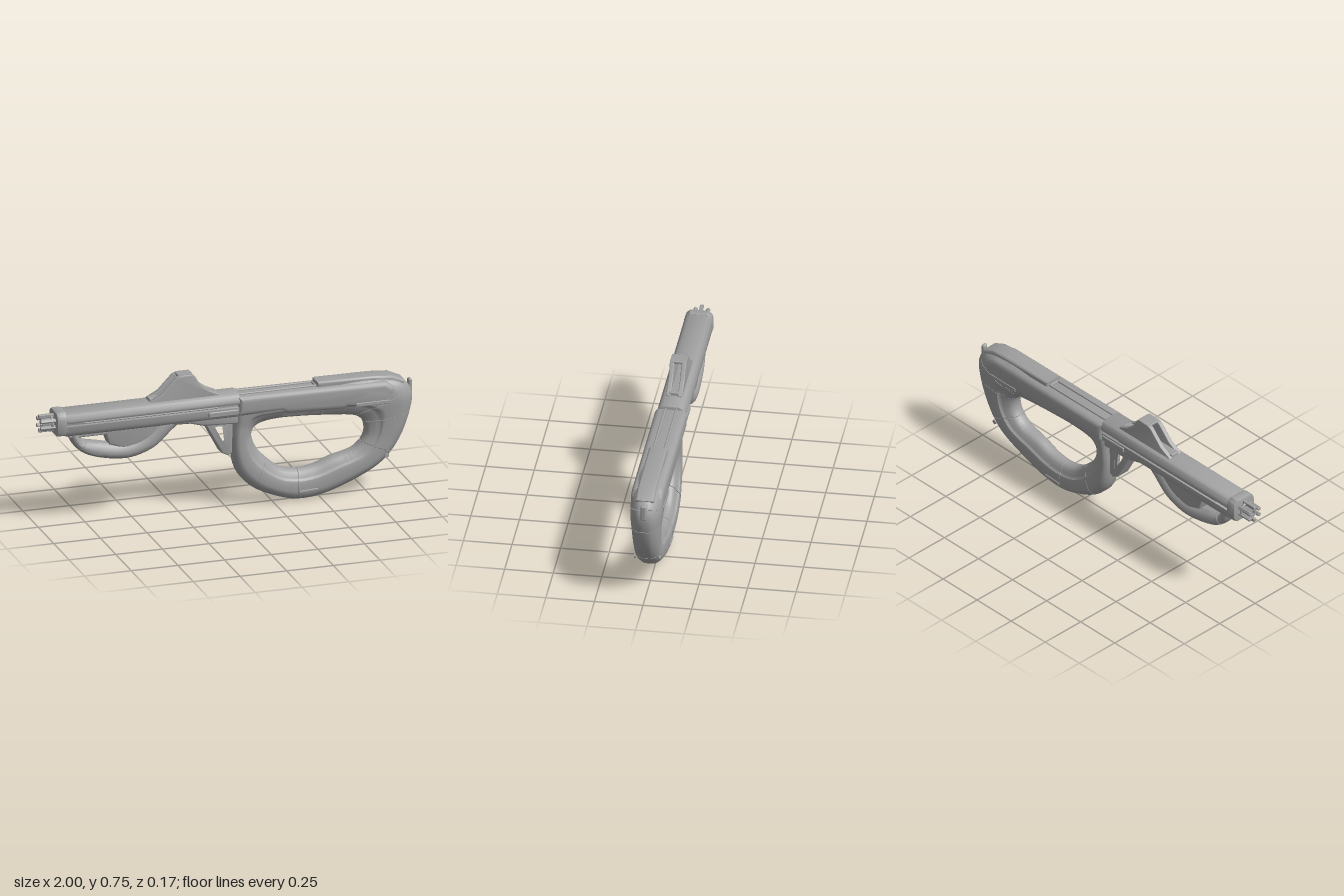
import * as THREE from 'three';
import { toCreasedNormals } from 'three/addons/utils/BufferGeometryUtils.js';
import { RoundedBoxGeometry } from 'three/addons/geometries/RoundedBoxGeometry.js';

const grey = new THREE.MeshStandardMaterial({ color: 0xa0a0a0 });
grey.name = 'grey';

export function createModel() {
  const model = new THREE.Group();
  model.name = 'toyBlaster';

  const add = (name, geo, x = 0, y = 0, z = 0) => {
    const mesh = new THREE.Mesh(geo, grey);
    mesh.name = name;
    mesh.position.set(x, y, z);
    model.add(mesh);
    return mesh;
  };
  const vec = (pts) => pts.map(([x, y]) => new THREE.Vector2(x, y));

  // side outline extruded across z, bevel kept inside the outline
  const slab = (pts, halfZ, bevel, hole) => {
    const shape = new THREE.Shape(vec(pts));
    if (hole) shape.holes.push(new THREE.Path(vec(hole)));
    const geo = new THREE.ExtrudeGeometry(shape, {
      depth: 2 * (halfZ - bevel), bevelThickness: bevel, bevelSize: bevel,
      bevelOffset: -bevel, bevelSegments: 3,
    });
    geo.translate(0, 0, bevel - halfZ);
    return toCreasedNormals(geo, 0.6);
  };

  // mirrored half section [z, y] extruded along x
  const beam = (half, x0, x1, bevel = 0.004) => {
    const mirror = half.filter((p) => p[0] > 0).map(([z, y]) => [-z, y]).reverse();
    const geo = new THREE.ExtrudeGeometry(new THREE.Shape(vec([...half, ...mirror])), {
      depth: x1 - x0 - 2 * bevel, bevelThickness: bevel, bevelSize: bevel,
      bevelOffset: -bevel, bevelSegments: 2,
    });
    geo.rotateY(Math.PI / 2).translate(x0 + bevel, 0, 0);
    return toCreasedNormals(geo, 0.6);
  };

  // skin between an outer and an inner path; stations are [ox, oy, ix, iy, halfWidth]
  const loft = (stations, profile, closed, seams = []) => {
    const n = stations.length, spans = closed ? n : n - 1;
    const path = (k) => new THREE.CatmullRomCurve3(
      stations.map((s) => new THREE.Vector3(s[k], s[k + 1], 0)), closed);
    const outer = path(0), inner = path(2);
    const ring = [...profile, ...profile.slice(1, -1).reverse().map(([s, w]) => [s, -w])];
    const rows = [];
    for (let i = 0; i <= spans * 6; i++) rows.push([i / 6, 1]);
    for (const t of seams) rows.push([t - 0.025, 1], [t, 0.95], [t + 0.025, 1]);
    rows.sort((a, b) => a[0] - b[0]);
    const pos = [], index = [], m = ring.length;
    rows.forEach(([t, shrink], r) => {
      const o = outer.getPoint(t / spans), p = inner.getPoint(t / spans);
      const i = Math.floor(t);
      const w = THREE.MathUtils.lerp(stations[i % n][4], stations[closed ? (i + 1) % n : Math.min(i + 1, n - 1)][4], t - i);
      for (const [s, z] of ring) {
        const q = 0.5 + (s - 0.5) * shrink;
        pos.push(o.x + (p.x - o.x) * q, o.y + (p.y - o.y) * q, z * w * shrink);
      }
      if (r === 0) return;
      for (let j = 0; j < m; j++) {
        const a = (r - 1) * m + j, d = (r - 1) * m + (j + 1) % m;
        index.push(a, a + m, d + m, a, d + m, d);
      }
    });
    const geo = new THREE.BufferGeometry();
    geo.setAttribute('position', new THREE.Float32BufferAttribute(pos, 3));
    geo.setIndex(index);
    return toCreasedNormals(geo, 0.55);
  };

  // looped stock and grip: broad outer shell stepping down to a slim inner liner
  add('stockLoop', loft([
    [0.03, 0.31, 0.135, 0.385, 0.06], [0.06, 0.185, 0.16, 0.31, 0.062],
    [0.135, 0.10, 0.21, 0.25, 0.066], [0.25, 0.04, 0.29, 0.185, 0.064],
    [0.37, 0.005, 0.38, 0.165, 0.058], [0.49, 0.01, 0.47, 0.175, 0.058],
    [0.65, 0.06, 0.56, 0.208, 0.062], [0.83, 0.155, 0.69, 0.245, 0.066],
    [0.925, 0.27, 0.742, 0.31, 0.067], [0.983, 0.42, 0.737, 0.38, 0.073],
    [0.992, 0.52, 0.70, 0.415, 0.08], [0.945, 0.588, 0.64, 0.43, 0.083],
    [0.78, 0.622, 0.57, 0.437, 0.083], [0.48, 0.605, 0.43, 0.45, 0.08],
    [0.2, 0.60, 0.25, 0.453, 0.078], [0.06, 0.58, 0.17, 0.435, 0.07],
    [0.035, 0.45, 0.145, 0.415, 0.06],
  ], [[0, 0], [0, 0.3], [0.03, 0.5], [0.1, 0.74], [0.2, 0.94], [0.3, 1], [0.58, 1],
    [0.65, 0.95], [0.69, 0.82], [0.74, 0.76], [0.9, 0.62], [0.97, 0.42], [1, 0.2], [1, 0]],
  true, [2, 4, 7.5, 9, 10.4]));

  // receiver shell with stepped lower edge
  add('receiver', slab([
    [0.05, 0.505], [0.28, 0.505], [0.31, 0.49], [0.62, 0.48], [0.68, 0.512], [0.86, 0.512],
    [0.9, 0.53], [0.89, 0.575], [0.84, 0.605], [0.05, 0.608],
  ], 0.083, 0.028));
  add('topCover', slab([
    [0.48, 0.595], [0.48, 0.632], [0.78, 0.63], [0.88, 0.622], [0.95, 0.59],
    [0.94, 0.56], [0.85, 0.59], [0.66, 0.6], [0.64, 0.59],
  ], 0.048, 0.012));
  add('tailPlate', new RoundedBoxGeometry(0.02, 0.085, 0.03, 3, 0.009), 0.988, 0.54, 0);

  // raised frame along the receiver top
  for (const side of [1, -1]) {
    add('topRail', new RoundedBoxGeometry(0.52, 0.025, 0.012, 2, 0.005), 0.22, 0.603, side * 0.028);
    add('sideSlotRim', new RoundedBoxGeometry(0.18, 0.02, 0.008, 2, 0.003), 0.765, 0.498, side * 0.082);
    add('hingePin', new THREE.CylinderGeometry(0.012, 0.012, 0.008, 20).rotateX(Math.PI / 2), 0.845, 0.2, side * 0.064);
    add('gripPlate', new RoundedBoxGeometry(0.1, 0.014, 0.008, 2, 0.003), 0.43, 0.055, side * 0.058).rotation.z = 0.06;
    add('barrelRail', new RoundedBoxGeometry(0.72, 0.008, 0.012, 2, 0.003), -0.42, 0.562, side * 0.058);
    add('railLug', new RoundedBoxGeometry(0.16, 0.03, 0.02, 2, 0.006), -0.03, 0.53, side * 0.066);
  }
  for (const x of [-0.035, 0.475])
    add('topRailEnd', new RoundedBoxGeometry(0.012, 0.025, 0.06, 2, 0.005), x, 0.603, 0);

  // barrel housing with a groove along each side
  add('barrel', beam([
    [0, 0.625], [0.04, 0.624], [0.058, 0.615], [0.07, 0.598], [0.074, 0.58], [0.07, 0.57],
    [0.057, 0.568], [0.057, 0.556], [0.069, 0.553], [0.069, 0.525], [0.06, 0.505], [0.045, 0.495], [0, 0.495],
  ], -0.87, 0.06));
  add('muzzleCollar', beam([
    [0, 0.628], [0.045, 0.628], [0.065, 0.612], [0.073, 0.59], [0.073, 0.535], [0.062, 0.51], [0.045, 0.5], [0, 0.5],
  ], -0.92, -0.865, 0.008));

  // muzzle: core tube ringed by prongs
  const tube = [[0.012, 0], [0.024, 0], [0.024, 0.07], [0.012, 0.07], [0.012, 0]];
  add('muzzleCore', toCreasedNormals(new THREE.LatheGeometry(vec(tube), 24), 0.6), -0.915, 0.565, 0).rotation.z = Math.PI / 2;
  for (let i = 0; i < 6; i++) {
    const a = (i + 0.5) * Math.PI / 3;
    add('muzzleProng', new RoundedBoxGeometry(0.09, 0.018, 0.02, 2, 0.004),
      -0.955, 0.565 + 0.037 * Math.sin(a), 0.037 * Math.cos(a)).rotation.x = -a;
  }
  add('muzzleBand', new THREE.TorusGeometry(0.036, 0.007, 8, 24).rotateY(Math.PI / 2), -0.935, 0.565, 0);

  // foregrip: curved bar, thin web and upper strip around an opening
  add('foregripBar', loft([
    [-0.85, 0.53, -0.79, 0.53, 0.045], [-0.84, 0.485, -0.785, 0.488, 0.046],
    [-0.81, 0.425, -0.765, 0.455, 0.048], [-0.735, 0.37, -0.70, 0.437, 0.052],
    [-0.535, 0.333, -0.555, 0.415, 0.054], [-0.39, 0.375, -0.455, 0.44, 0.054],
    [-0.29, 0.46, -0.36, 0.52, 0.052], [-0.22, 0.515, -0.31, 0.56, 0.05],
  ], [[0, 0], [0, 0.35], [0.06, 0.65], [0.2, 0.9], [0.4, 1], [0.65, 0.95], [0.85, 0.75], [1, 0.4], [1, 0]], false, [2.3]));
  add('foregripWeb', slab([
    [-0.65, 0.475], [-0.63, 0.42], [-0.54, 0.39], [-0.42, 0.42], [-0.33, 0.49], [-0.33, 0.515], [-0.66, 0.515],
  ], 0.042, 0.01));
  add('foregripStrip', new RoundedBoxGeometry(0.26, 0.035, 0.08, 2, 0.008), -0.72, 0.495, 0);

  // trigger housing: nested triangular frames under a short neck
  add('neck', slab([[-0.33, 0.515], [-0.31, 0.49], [-0.2, 0.485], [-0.13, 0.465], [0.1, 0.455], [0.1, 0.52]], 0.05, 0.012));
  add('triggerFrame', slab(
    [[-0.125, 0.485], [-0.1, 0.49], [0.02, 0.49], [0.03, 0.47], [0.025, 0.3], [0.005, 0.288], [-0.03, 0.305]],
    0.042, 0.008,
    [[-0.088, 0.462], [-0.005, 0.462], [0.002, 0.34], [-0.018, 0.338]]));
  add('triggerInnerFrame', slab(
    [[-0.098, 0.47], [0.005, 0.47], [0.006, 0.33], [-0.025, 0.33]], 0.028, 0.004,
    [[-0.068, 0.45], [-0.02, 0.45], [-0.01, 0.365], [-0.025, 0.362]]));

  // sight: two cheeks with an open channel, joined by a bridge and a floor
  for (const side of [1, -1])
    add('sightCheek', slab([
      [-0.43, 0.61], [-0.41, 0.63], [-0.35, 0.662], [-0.275, 0.74], [-0.25, 0.75], [-0.185, 0.75],
      [-0.17, 0.735], [-0.145, 0.69], [-0.1, 0.655], [-0.045, 0.63], [-0.04, 0.61],
    ], 0.012, 0.006), 0, 0, side * 0.03);
  add('sightBridge', new RoundedBoxGeometry(0.08, 0.014, 0.06, 2, 0.004), -0.22, 0.743, 0);
  add('sightFloor', new RoundedBoxGeometry(0.36, 0.03, 0.05, 2, 0.005), -0.235, 0.625, 0);

  return model;
}
